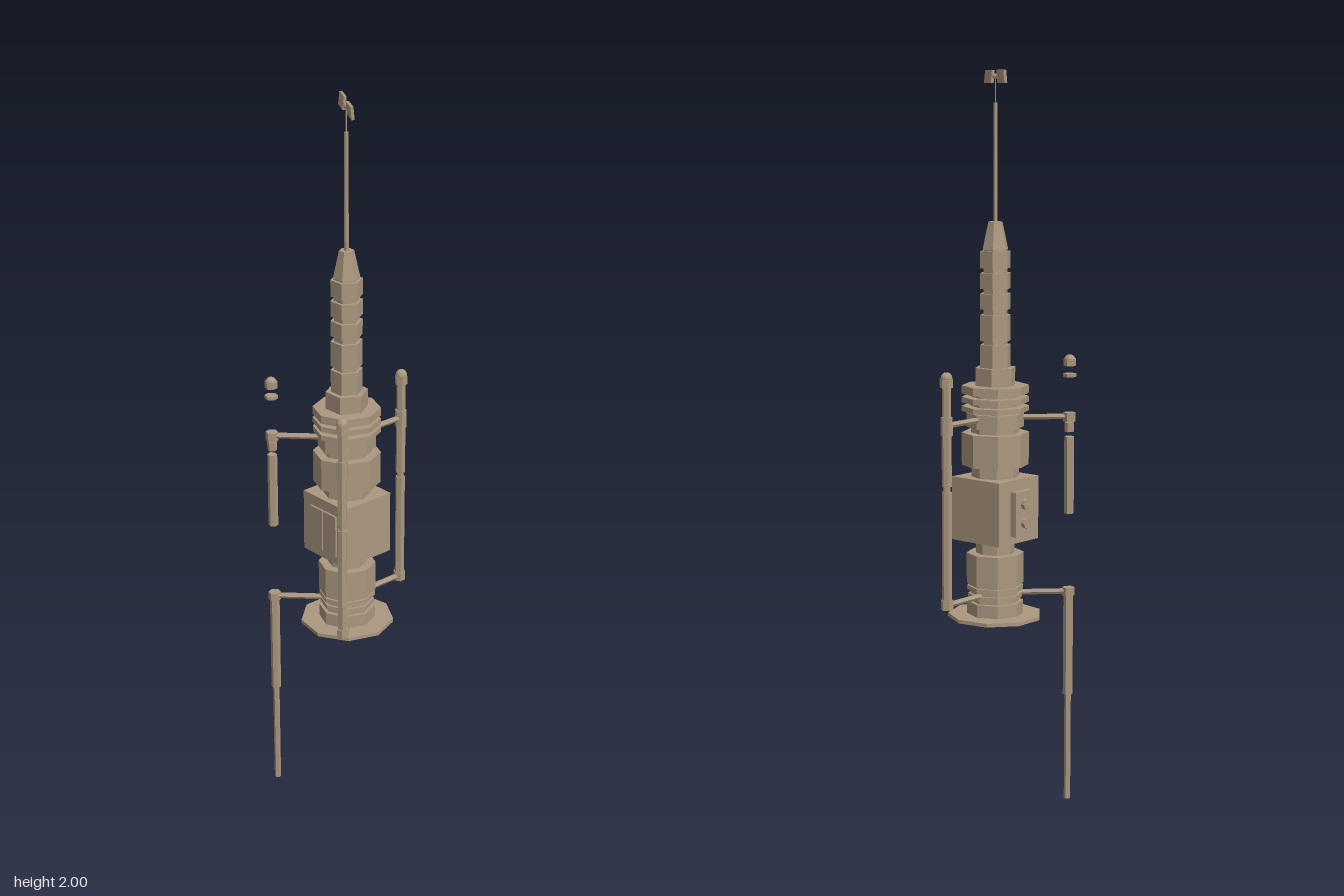
import * as THREE from 'three';

const tan = new THREE.MeshStandardMaterial({ color: 0xab9880, flatShading: true });
tan.name = 'tan metal';

const AXIS_Z = 0.025; // the core stands slightly forward of the centre

export function createModel() {
  const model = new THREE.Group();
  model.name = 'spaceStation';
  const core = new THREE.Group();
  core.name = 'core';
  core.position.z = AXIS_Z;
  model.add(core);

  const add = (parent, name, geometry, x = 0, y = 0, z = 0) => {
    const mesh = new THREE.Mesh(geometry, tan);
    mesh.name = name;
    mesh.position.set(x, y, z);
    parent.add(mesh);
    return mesh;
  };
  // upright prism from y0 to y1, with one corner facing +x
  const prism = (parent, name, sides, y0, y1, r0, r1 = r0, x = 0, z = 0) => {
    const g = new THREE.CylinderGeometry(r1, r0, y1 - y0, sides);
    g.rotateY(Math.PI / 2);
    return add(parent, name, g, x, (y0 + y1) / 2, z);
  };

  // base plate and lower hull
  prism(core, 'basePlate', 9, 0.525, 0.535, 0.129);
  [
    ['baseDrum', 0.535, 0.57, 0.077], ['lowerGroove', 0.57, 0.58, 0.066],
    ['lowerRing', 0.58, 0.592, 0.074], ['upperGroove', 0.592, 0.602, 0.066],
    ['collarRing', 0.602, 0.614, 0.077], ['hullSeam', 0.614, 0.62, 0.07],
    ['lowerDrum', 0.62, 0.705, 0.078], ['lowerNeck', 0.705, 0.745, 0.053],
    // upper hull with its stack of rings
    ['upperNeck', 0.915, 0.948, 0.065], ['upperDrum', 0.948, 1.037, 0.091],
    ['ringCore', 1.037, 1.16, 0.066], ['armRing', 1.052, 1.09, 0.078],
    ['ring', 1.095, 1.109, 0.091], ['ring', 1.119, 1.134, 0.091],
    ['ring', 1.143, 1.165, 0.091],
  ].forEach(([name, y0, y1, r]) => prism(core, name, 8, y0, y1, r));

  // six-sided tower: wide foot, banded shaft and tapered cap
  prism(core, 'towerFoot', 6, 1.165, 1.213, 0.057);
  prism(core, 'towerShaft', 6, 1.213, 1.53, 0.034);
  [[1.213, 1.275], [1.285, 1.355], [1.37, 1.412], [1.425, 1.467], [1.48, 1.525]]
    .forEach(([y0, y1]) => prism(core, 'towerBand', 6, y0, y1, 0.043));
  prism(core, 'towerCap', 6, 1.53, 1.603, 0.036, 0.02);

  // antenna mast and its twin panels
  prism(core, 'mast', 6, 1.603, 1.915, 0.006);
  prism(core, 'mastTip', 6, 1.915, 1.985, 0.002);
  const vane = new THREE.Group();
  vane.name = 'vane';
  vane.position.y = 1.983;
  vane.rotation.y = -Math.PI / 6;
  core.add(vane);
  add(vane, 'vaneHub', new THREE.SphereGeometry(0.008, 8, 6));
  add(vane, 'vaneRod', new THREE.BoxGeometry(0.06, 0.005, 0.005));
  for (const s of [-1, 1]) {
    const panel = add(vane, 'vanePanel', new THREE.BoxGeometry(0.055, 0.034, 0.008), s * 0.049);
    panel.rotation.x = s * 0.1;
  }

  // square equipment module
  add(core, 'module', new THREE.BoxGeometry(0.168, 0.174, 0.164), 0, 0.829, 0);
  for (const s of [-1, 1]) {
    add(core, 'frontPanel', new THREE.BoxGeometry(0.05, 0.12, 0.006), s * 0.027, 0.825, 0.085);
  }
  add(core, 'sidePanel', new THREE.BoxGeometry(0.019, 0.122, 0.07), -0.0935, 0.825, 0);
  for (const y of [0.8, 0.852]) {
    const dial = new THREE.CylinderGeometry(0.015, 0.015, 0.012, 8);
    dial.rotateZ(Math.PI / 2);
    add(core, 'dial', dial, -0.108, y, 0);
  }

  // outrigger poles: [direction x, direction z, reach]
  const arm = (group, y, reach) => {
    const g = new THREE.CylinderGeometry(0.008, 0.008, reach - 0.05, 6);
    g.rotateZ(Math.PI / 2);
    add(group, 'arm', g, (reach + 0.05) / 2, y, 0);
  };
  const wholePole = [
    ['poleFoot', 0.58, 0.606, 0.017], ['poleLower', 0.606, 0.9, 0.0135],
    ['poleJoint', 0.9, 0.914, 0.01], ['poleUpper', 0.914, 1.05, 0.0135],
    ['poleCollar', 1.05, 1.1, 0.0165], ['poleTop', 1.1, 1.178, 0.0125],
    ['poleCap', 1.178, 1.2, 0.018],
  ];
  // the third pole is drawn apart into separate pieces
  const splitPole = [
    ['lowerRod', 0, 0.3, 0.009], ['lowerTube', 0.3, 0.585, 0.0135],
    ['poleFoot', 0.58, 0.603, 0.017], ['upperTube', 0.81, 1.022, 0.0135],
    ['poleCollar', 1.035, 1.06, 0.013], ['armJoint', 1.063, 1.088, 0.017],
    ['looseDisc', 1.185, 1.194, 0.018], ['looseCap', 1.215, 1.235, 0.017],
  ];
  [
    ['backPole', 90, 0.197, wholePole, 1.203],
    ['leftPole', -45, 0.201, wholePole, 1.203],
    ['rightPole', -135, 0.201, splitPole, 1.23],
  ].forEach(([name, angle, reach, parts, ballY]) => {
    const group = new THREE.Group();
    group.name = name;
    group.rotation.y = THREE.MathUtils.degToRad(angle);
    core.add(group);
    arm(group, 0.592, reach);
    arm(group, 1.077, reach);
    parts.forEach(([n, y0, y1, r]) => prism(group, n, 6, y0, y1, r, r, reach, 0));
    add(group, 'poleBall', new THREE.SphereGeometry(0.016, 10, 8), reach, ballY, 0);
  });

  return model;
}
